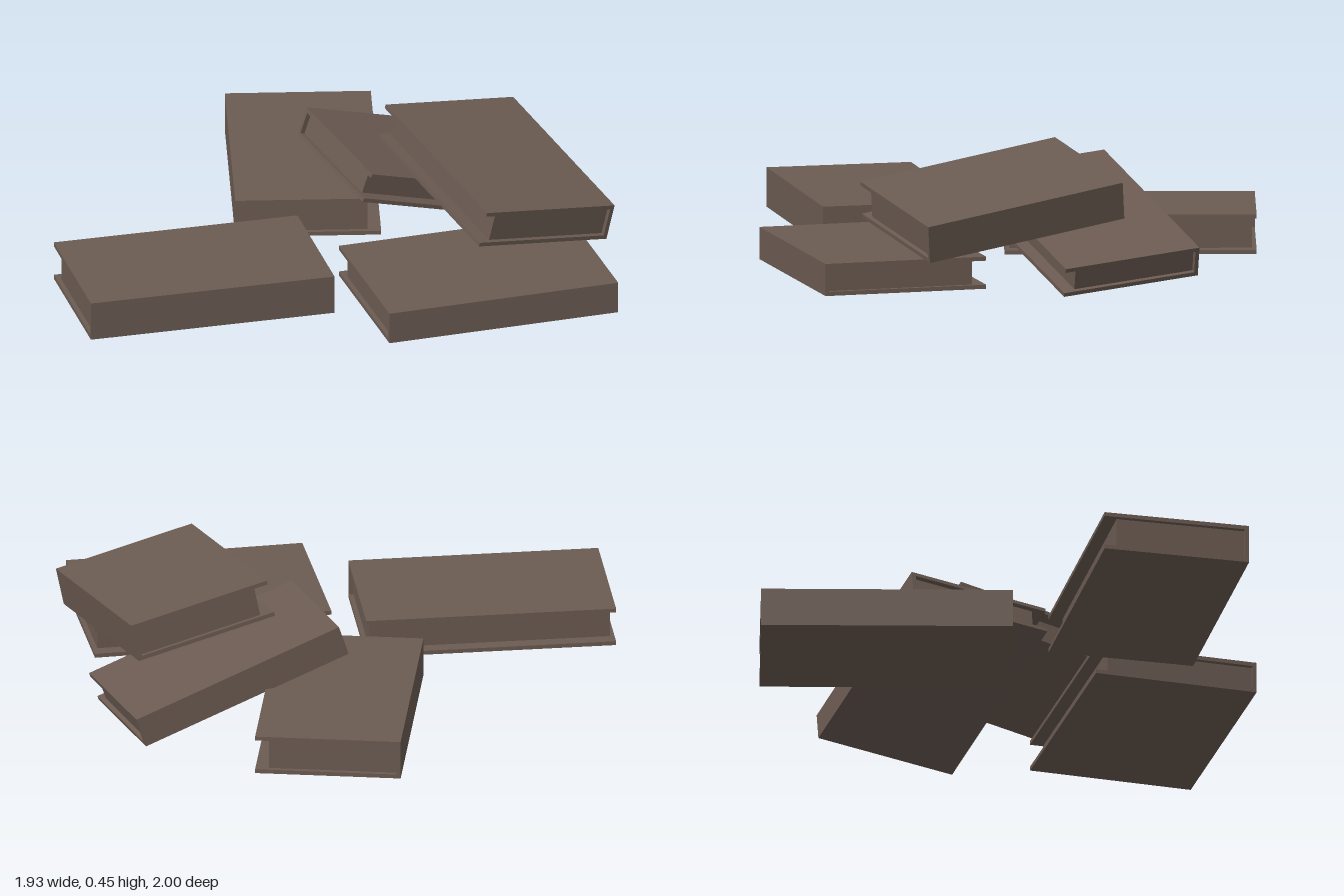
import * as THREE from 'three';

const material = new THREE.MeshStandardMaterial({ color: 0x6b5b52 });
const BOARD = 0.014; // cover board thickness
const LIP = 0.045; // cover overhang at the fore edge
const END = 0.016; // cover overhang at head and tail

// Top-cover corners: both ends of the spine, then the fore corner next to the first end.
const BOOKS = [
  { name: 'leftBook', thick: 0.135, a: [-0.965, 0.185, -0.35], b: [-0.255, 0.185, 0.12], c: [-0.69, 0.185, -0.76] },
  { name: 'frontBook', thick: 0.135, a: [0.11, 0.185, 0.995], b: [0.425, 0.185, 0.205], c: [-0.355, 0.185, 0.81] },
  { name: 'rightBook', thick: 0.11, a: [0.705, 0.145, 0.18], b: [0.96, 0.145, -0.59], c: [0.17, 0.145, 0] },
  { name: 'leaningBook', thick: 0.105, a: [-0.285, 0.14, -1], b: [-0.4, 0.37, -0.28], c: [0.205, 0.1, -0.915] },
  { name: 'topBook', thick: 0.13, a: [-0.05, 0.37, -0.89], b: [0.675, 0.27, -0.785], c: [-0.11, 0.455, -0.4] },
];

// Closed book centred on the origin: spine on -x, fore edge on +x, length along z.
function makeBook(width, thick, length) {
  const book = new THREE.Group();
  const w = width / 2, t = thick / 2;

  // U-shaped binding: two boards joined by the spine
  const profile = new THREE.Shape([
    [-w, -t], [w, -t], [w, -t + BOARD], [-w + BOARD, -t + BOARD],
    [-w + BOARD, t - BOARD], [w, t - BOARD], [w, t], [-w, t],
  ].map(([x, y]) => new THREE.Vector2(x, y)));
  const coverGeometry = new THREE.ExtrudeGeometry(profile, { depth: length, bevelEnabled: false });
  coverGeometry.translate(0, 0, -length / 2);
  const cover = new THREE.Mesh(coverGeometry, material);
  cover.name = 'cover';

  // Page block set back from the cover edges
  const pages = new THREE.Mesh(
    new THREE.BoxGeometry(width - BOARD - LIP, thick - 2 * BOARD, length - 2 * END), material);
  pages.position.x = (BOARD - LIP) / 2;
  pages.name = 'pages';

  book.add(cover, pages);
  return book;
}

// Build a book and lay it so its top cover meets the given corners
function placeBook({ name, thick, a, b, c }) {
  const start = new THREE.Vector3(...a);
  const along = new THREE.Vector3(...b).sub(start);
  const across = new THREE.Vector3(...c).sub(start);
  const book = makeBook(across.length(), thick, along.length());
  book.name = name;

  const xAxis = across.clone().normalize();
  const yAxis = along.clone().cross(across).normalize();
  if (yAxis.y < 0) yAxis.negate();
  const zAxis = xAxis.clone().cross(yAxis);
  book.quaternion.setFromRotationMatrix(new THREE.Matrix4().makeBasis(xAxis, yAxis, zAxis));
  book.position.copy(start).addScaledVector(along, 0.5).addScaledVector(across, 0.5)
    .addScaledVector(yAxis, -thick / 2);
  return book;
}

export function createModel() {
  const pile = new THREE.Group();
  pile.name = 'bookPile';
  BOOKS.forEach((spec) => pile.add(placeBook(spec)));
  return pile;
}
